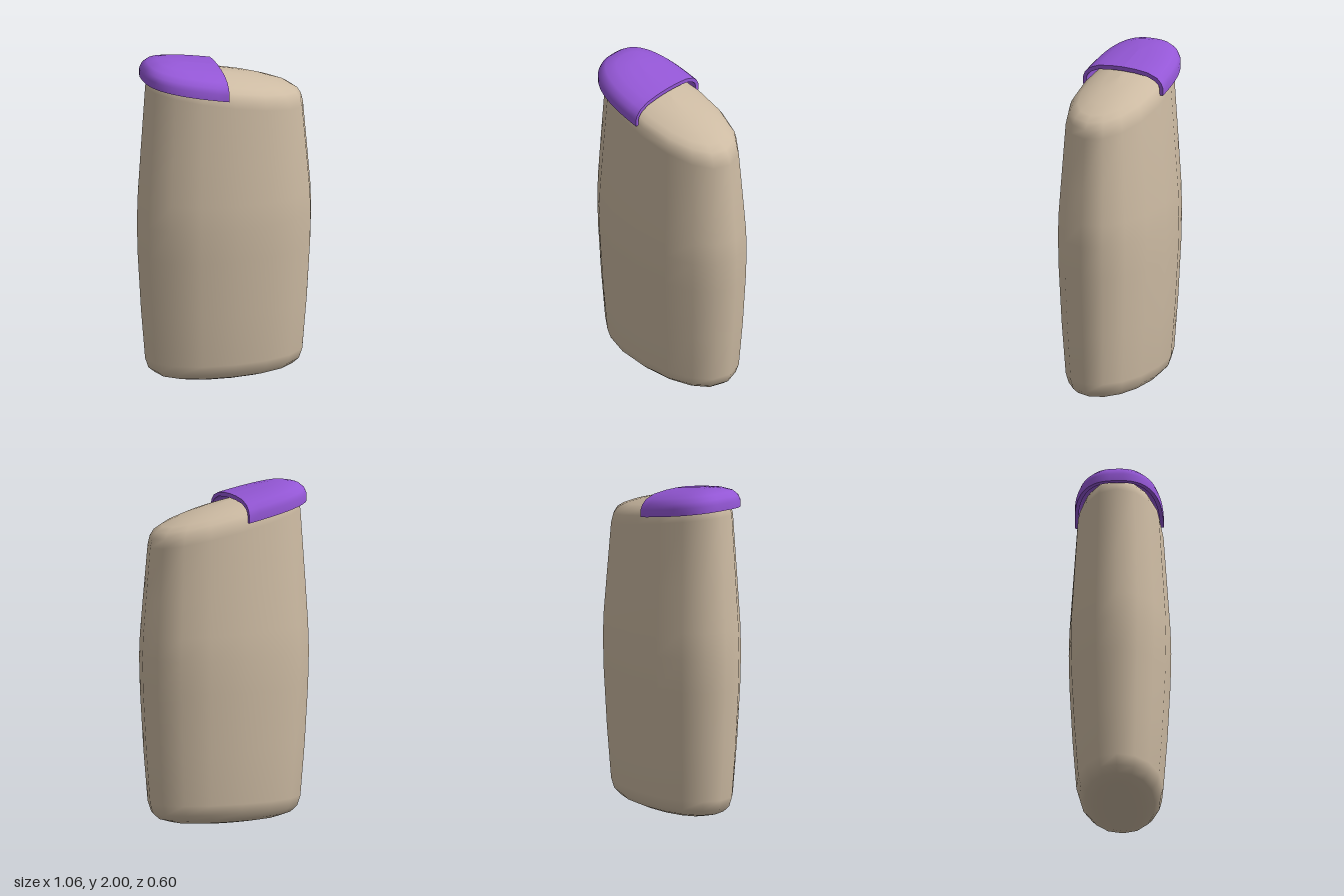
import * as THREE from 'three';

// Smooth surface through rows of points; wrap joins the last column to the first.
function skin(rows, material, wrap = false) {
  const n = rows[0].length, pos = rows.flat(2), idx = [];
  for (let r = 0; r < rows.length - 1; r++) {
    for (let c = 0; c < (wrap ? n : n - 1); c++) {
      const a = r * n + c, b = r * n + (c + 1) % n;
      idx.push(a, a + n, b, b, a + n, b + n);
    }
  }
  const g = new THREE.BufferGeometry();
  g.setAttribute('position', new THREE.Float32BufferAttribute(pos, 3));
  g.setIndex(idx);
  g.computeVertexNormals();
  return new THREE.Mesh(g, material);
}

const spow = (v, e) => Math.sign(v) * Math.abs(v) ** e;
const SLOPE = 0.2; // tilt of the top towards +x

export function createModel() {
  const model = new THREE.Group();
  const shell = new THREE.MeshStandardMaterial({ color: 0xcdbba3 });
  const purple = new THREE.MeshStandardMaterial({ color: 0x9457d6, side: THREE.DoubleSide });

  // Body: 16-sided oval rings [half width x, half depth z, height, share of tilt]
  const rings = [
    [0, 0, 0, 0], [0.2, 0.09, 0.008, 0], [0.34, 0.155, 0.022, 0], [0.42, 0.205, 0.045, 0],
    [0.46, 0.238, 0.08, 0], [0.48, 0.255, 0.14, 0],
    [0.505, 0.278, 0.45, 0], [0.525, 0.296, 0.8, 0], [0.53, 0.3, 1, 0], [0.525, 0.296, 1.15, 0.15],
    [0.507, 0.279, 1.4, 0.5], [0.48, 0.255, 1.75, 1],
    [0.468, 0.243, 1.8, 1], [0.445, 0.222, 1.833, 1], [0.4, 0.185, 1.855, 1],
    [0.3, 0.135, 1.876, 1], [0.18, 0.08, 1.89, 1], [0, 0, 1.897, 1],
  ];
  const bodyRows = rings.map(([rx, rz, y, tilt]) => Array.from({ length: 16 }, (_, i) => {
    const t = i * Math.PI / 8;
    const x = rx * spow(Math.cos(t), 0.93), z = rz * spow(Math.sin(t), 0.93);
    return [x, y - SLOPE * tilt * x, z];
  }));
  const body = skin(bodyRows, shell, true);
  body.name = 'body';
  model.add(body);

  // Lid: hollow half-oval cover, cut straight across; profile is [inset, height]
  const outer = [[0, 1.792], [0, 1.835], [0.012, 1.866], [0.04, 1.895], [0.1, 1.919], [0.18, 1.929], [0.26, 1.932]];
  const inner = [[0.022, 1.792], [0.022, 1.83], [0.03, 1.852], [0.052, 1.873], [0.1, 1.894], [0.18, 1.904], [0.26, 1.907]];
  const lidRow = ([d, y]) => Array.from({ length: 41 }, (_, i) => {
    const t = i * Math.PI / 40, e = 2 / 2.7;
    const x = -0.04 - (0.46 - d) * spow(i === 40 ? 0 : Math.sin(t), e);
    return [x, y - SLOPE * x, (0.26 - d) * spow(Math.cos(t), e)];
  });
  const outRows = outer.map(lidRow), inRows = inner.map(lidRow);
  const column = (rows, c) => rows.map(r => r[c]);

  const lid = new THREE.Group();
  lid.name = 'lid';
  const addLid = (name, rows) => {
    const m = skin(rows, purple);
    m.name = name;
    lid.add(m);
  };
  addLid('lidOuter', outRows);
  addLid('lidInner', [...inRows].reverse());
  addLid('lidRim', [inRows[0], outRows[0]]);
  // Flat faces of the straight cut
  addLid('lidCutLeft', [column(inRows, 0), column(outRows, 0)]);
  addLid('lidCutRight', [column(outRows, 40), column(inRows, 40)]);
  model.add(lid);

  return model;
}
